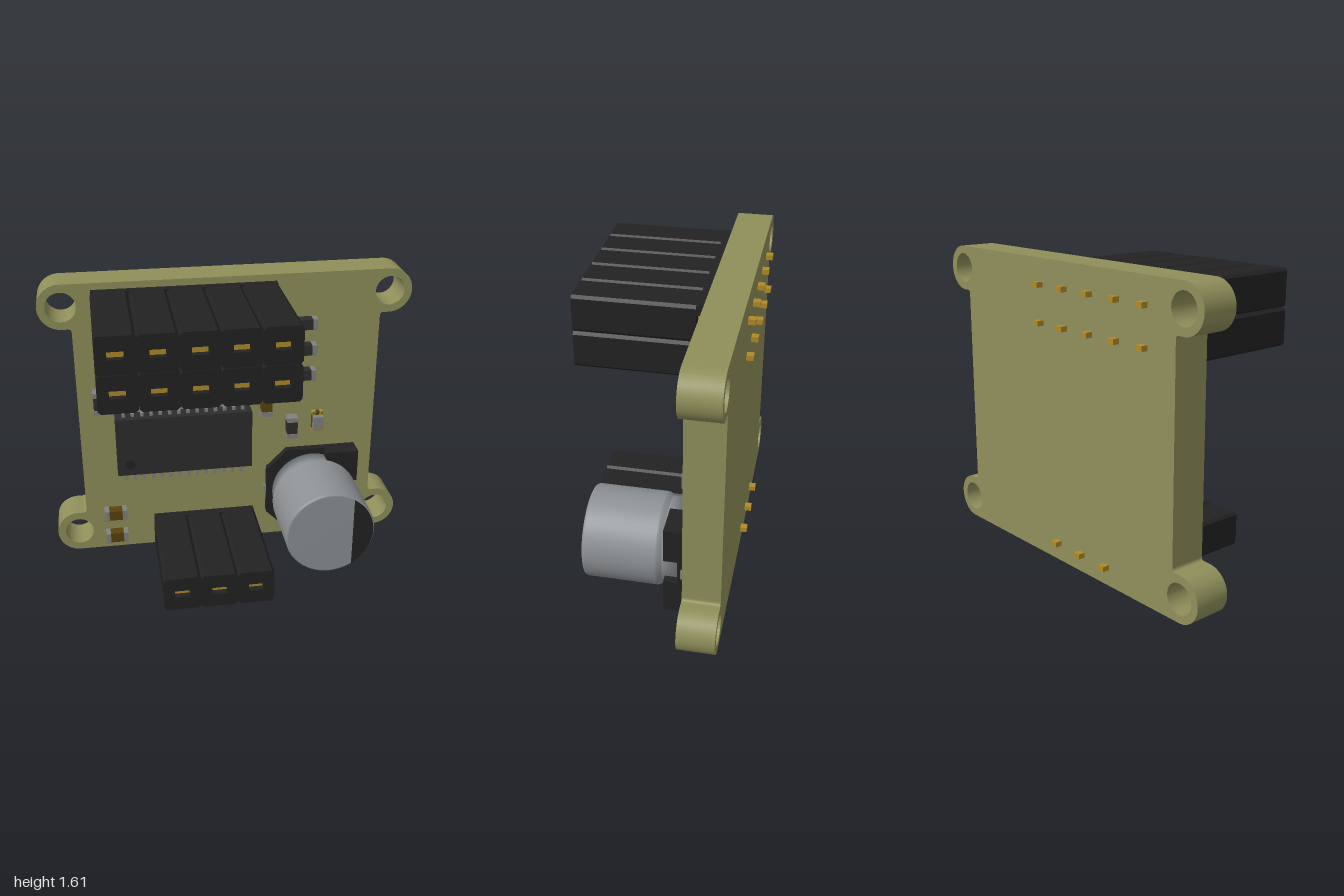
import * as THREE from 'three';

const mat = (color, side = THREE.FrontSide) => new THREE.MeshStandardMaterial({ color, side });
const M = {
  board: mat(0x8f8f5b), black: mat(0x222222), chip: mat(0x2c2c2c), brass: mat(0xb08a28),
  brown: mat(0x5a420c), metal: mat(0x808080), can: mat(0x8d9194), green: mat(0x2c8a3c),
};
const FACE = -0.215; // front face of the board
const BACK = -0.41;

function add(parent, name, geometry, material, x = 0, y = 0, z = 0) {
  const mesh = new THREE.Mesh(geometry, material);
  mesh.name = name;
  mesh.position.set(x, y, z);
  parent.add(mesh);
  return mesh;
}

// Box given by its centre in x and y and its range in z
function slab(parent, name, material, x, y, w, h, z0, z1) {
  return add(parent, name, new THREE.BoxGeometry(w, h, z1 - z0), material, x, y, (z0 + z1) / 2);
}

function extrude(shape, depth, curveSegments = 24) {
  return new THREE.ExtrudeGeometry(shape, { depth, bevelEnabled: false, curveSegments });
}

function polygon(points) {
  return new THREE.Shape(points.map(([x, y]) => new THREE.Vector2(x, y)));
}

function group(parent, name, x = 0, y = 0) {
  const g = new THREE.Group();
  g.name = name;
  g.position.set(x, y, 0);
  parent.add(g);
  return g;
}

// Board with a round mounting ear at each corner
function buildBoard(root) {
  const r = 0.122, cx = 0.878, H = 1.607, side = 0.83, f = 0.02, q = Math.PI / 2;
  const s = new THREE.Shape();
  s.moveTo(-cx, 0);
  s.lineTo(cx, 0);
  s.absarc(cx, r, r, -q, q, false);
  s.lineTo(side + f, 2 * r);
  s.quadraticCurveTo(side, 2 * r, side, 2 * r + f);
  s.lineTo(side, H - 2 * r - f);
  s.quadraticCurveTo(side, H - 2 * r, side + f, H - 2 * r);
  s.absarc(cx, H - r, r, -q, q, false);
  s.lineTo(-cx, H);
  s.absarc(-cx, H - r, r, q, 3 * q, false);
  s.lineTo(-side - f, H - 2 * r);
  s.quadraticCurveTo(-side, H - 2 * r, -side, H - 2 * r - f);
  s.lineTo(-side, 2 * r + f);
  s.quadraticCurveTo(-side, 2 * r, -side - f, 2 * r);
  s.absarc(-cx, r, r, q, 3 * q, false);
  for (const x of [-cx, cx]) for (const y of [r, H - r]) {
    const hole = new THREE.Path();
    hole.absarc(x, y, 0.08, 0, Math.PI * 2, true);
    s.holes.push(hole);
  }
  add(root, 'circuitBoard', extrude(s, FACE - BACK), M.board, 0, 0, BACK);
}

// Socket header made of square cells, each with a slot, a contact and a pin
function buildHeader(root, name, x0, y0, cols, rows) {
  const p = 0.197, h = p / 2 - 0.001, c = 0.015, front = 0.445, base = -0.17;
  const g = group(root, name);
  const cell = polygon([[-h + c, -h], [h - c, -h], [h, -h + c], [h, h - c], [h - c, h], [-h + c, h], [-h, h - c], [-h, -h + c]]);
  cell.holes.push(new THREE.Path([[-0.04, -0.02], [-0.04, 0.02], [0.04, 0.02], [0.04, -0.02]].map(a => new THREE.Vector2(...a))));
  const body = extrude(cell, front - base);
  for (let i = 0; i < cols; i++) for (let j = 0; j < rows; j++) {
    const x = x0 + p * (i + 0.5), y = y0 + p * (j + 0.5);
    add(g, 'socketCell', body, M.black, x, y, base);
    slab(g, 'contact', M.brass, x, y, 0.08, 0.04, base, 0.41);
    slab(g, 'pin', M.brass, x, y, 0.04, 0.028, -0.447, base);
  }
  // Standing rails along the two long edges
  for (const y of [y0 + 0.026, y0 + rows * p - 0.026])
    slab(g, 'headerFoot', M.black, x0 + cols * p / 2, y, cols * p - 0.01, 0.05, FACE, base);
}

// Flat chip with two rows of bent leads
function buildChip(root) {
  const g = group(root, 'controllerChip', -0.264, 0.695);
  slab(g, 'chipBody', M.chip, 0, 0, 0.75, 0.34, -0.205, -0.112);
  const dot = add(g, 'pinOneMark', new THREE.CylinderGeometry(0.028, 0.028, 0.004, 24), M.black, -0.305, -0.105, -0.111);
  dot.rotation.x = Math.PI / 2;
  // Lead side profile: x runs outward, y runs away from the board
  const lead = extrude(polygon([[0.16, -0.148], [0.19, -0.148], [0.208, -0.198], [0.25, -0.198],
    [0.25, -0.214], [0.198, -0.214], [0.18, -0.164], [0.16, -0.164]].reverse()), 0.018);
  lead.translate(0, 0, -0.009);
  // Map outward -> y, height -> z, width -> x
  lead.applyMatrix4(new THREE.Matrix4().makeBasis(
    new THREE.Vector3(0, 1, 0), new THREE.Vector3(0, 0, 1), new THREE.Vector3(1, 0, 0)));
  const mirrored = lead.clone().rotateZ(Math.PI);
  const flipped = mirrored;
  for (let i = 0; i < 14; i++) {
    const x = (i - 6.5) * 0.0505;
    add(g, 'upperLead', lead, M.metal, x);
    add(g, 'lowerLead', flipped, M.metal, x);
  }
}

// Can capacitor on a chamfered base with two raised corners
function buildCapacitor(root) {
  const g = group(root, 'capacitor', 0.467, 0.318);
  const b = 0.257, c = 0.115;
  const base = polygon([[-b + c, -b], [b, -b], [b, b], [-b + c, b], [-b, b - c], [-b, -b + c]]);
  add(g, 'capacitorBase', extrude(base, 0.04), M.black, 0, 0, -0.21);
  for (const s of [-1, 1]) {
    slab(g, 'baseCorner', M.black, 0.165, s * 0.162, 0.184, 0.19, -0.18, -0.1);
    slab(g, 'solderTab', M.metal, s * 0.262, 0, 0.02, 0.05, -0.213, -0.19);
  }
  const profile = [[0, -0.175], [0.225, -0.175], [0.225, -0.088], [0.23, -0.08], [0.243, -0.062],
    [0.245, -0.05], [0.245, 0.315], [0.241, 0.326], [0.232, 0.33], [0, 0.33]];
  const can = new THREE.LatheGeometry(profile.map(a => new THREE.Vector2(...a)), 48);
  add(g, 'capacitorCan', can, M.can).rotation.x = Math.PI / 2;
  // Dark polarity segment on the end of the can
  const a = Math.acos(0.123 / 0.236), seg = new THREE.Shape();
  seg.absarc(0, 0, 0.236, -a, a, false);
  add(g, 'polarityMark', new THREE.ShapeGeometry(seg, 24), M.black, 0, 0, 0.332);
}

// Small two-ended surface part
function buildSmallPart(root, name, x, y, upright, bodyMat, endMat = M.metal) {
  const g = group(root, name, x, y);
  slab(g, 'partBody', bodyMat, 0, 0, 0.075, 0.058, FACE, -0.156);
  for (const s of [-1, 1]) slab(g, 'partEnd', endMat, s * 0.05, 0, 0.026, 0.062, FACE, -0.151);
  if (upright) g.rotation.z = Math.PI / 2;
}

// Indicator lamp with notched metal ends
function buildLamp(root) {
  const g = group(root, 'indicatorLamp', 0.499, 0.738);
  slab(g, 'lampBase', M.brown, 0, 0, 0.062, 0.12, FACE, -0.19);
  slab(g, 'lampLens', M.metal, 0, 0, 0.058, 0.08, -0.19, -0.155);
  for (const x of [-1, 1]) for (const y of [-1, 1])
    slab(g, 'lampContact', M.brass, x * 0.022, y * 0.052, 0.02, 0.022, FACE, -0.186);
  for (const s of [-1, 1]) slab(g, 'lampMark', M.green, s * 0.024, 0.055, 0.012, 0.014, -0.19, -0.183);
}

export function createModel() {
  const root = new THREE.Group();
  root.name = 'circuitModule';
  buildBoard(root);
  buildHeader(root, 'doubleHeader', -0.726, 1.178, 5, 2);
  buildHeader(root, 'singleHeader', -0.45, 0.002, 3, 1);
  buildChip(root);
  buildCapacitor(root);
  for (const y of [1.335, 1.187, 1.039]) buildSmallPart(root, 'resistor', 0.409, y, false, M.chip);
  buildSmallPart(root, 'resistor', -0.717, 0.95, true, M.chip);
  buildSmallPart(root, 'resistor', 0.35, 0.722, true, M.chip);
  buildSmallPart(root, 'smallCapacitor', 0.202, 0.87, true, M.brown);
  for (const y of [0.24, 0.092]) buildSmallPart(root, 'smallCapacitor', -0.665, y, false, M.brown);
  buildLamp(root);
  return root;
}
